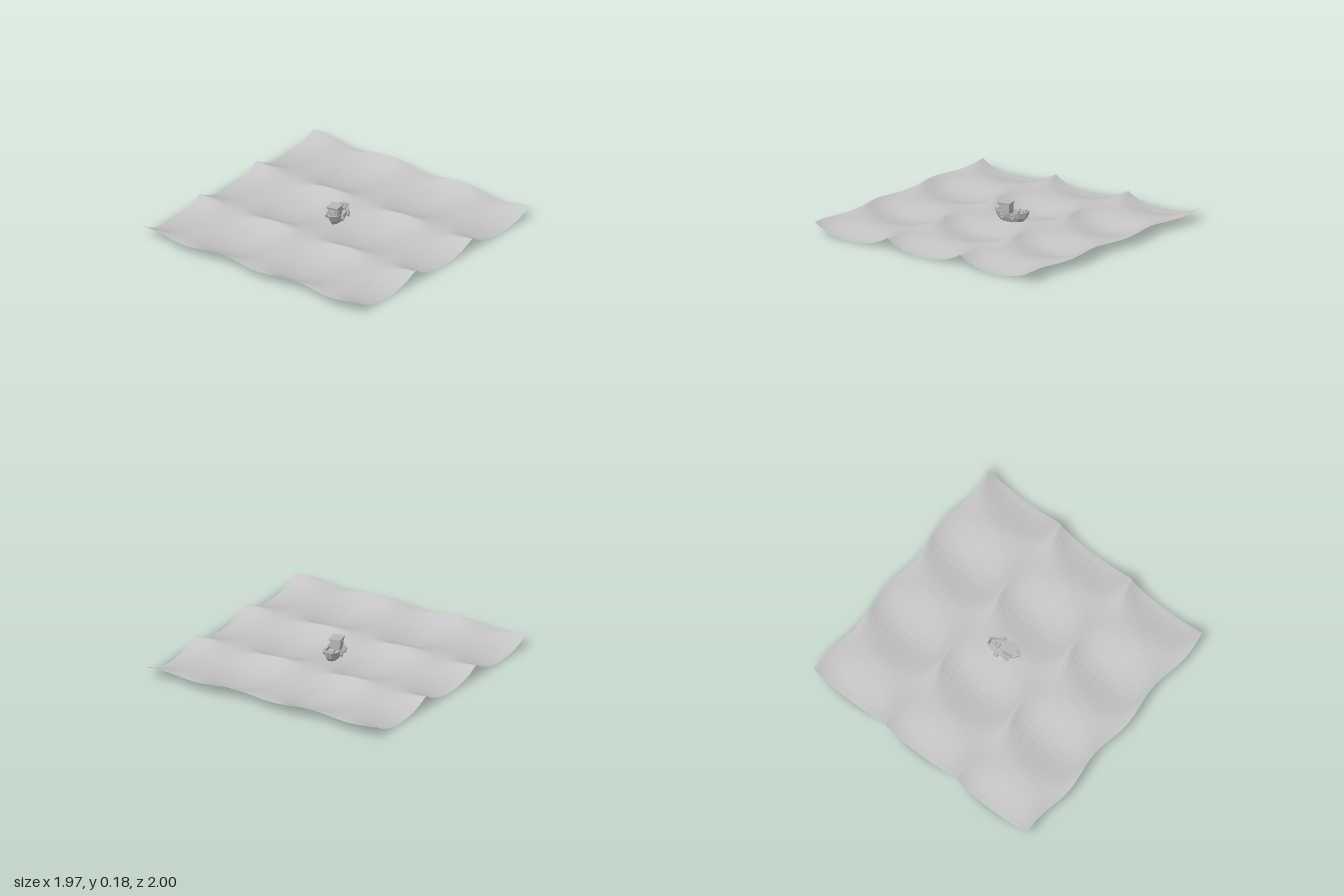
import * as THREE from 'three';

const seaGrey = new THREE.MeshStandardMaterial({ color: 0xc4c4c4, flatShading: true, side: THREE.DoubleSide });
seaGrey.name = 'sea grey';
const boatGrey = new THREE.MeshStandardMaterial({ color: 0xb8b8b8, flatShading: true, side: THREE.DoubleSide });
boatGrey.name = 'boat grey';

function add(parent, name, geometry, x = 0, y = 0, z = 0) {
  const mesh = new THREE.Mesh(geometry, boatGrey);
  mesh.name = name;
  mesh.position.set(x, y, z);
  parent.add(mesh);
  return mesh;
}

// Choppy sheet: three by three repeats of one wave, crests pinched together
function seaGeometry() {
  const size = 1.96, k = (Math.PI * 2 * 3) / size;
  const geo = new THREE.PlaneGeometry(size, size, 36, 48).rotateX(-Math.PI / 2);
  const p = geo.attributes.position;
  for (let i = 0; i < p.count; i++) {
    const x = p.getX(i), z = p.getZ(i);
    const swell = 0.026 - 0.016 * Math.cos(k * x);
    const y = 0.048 + 0.006 * Math.cos(k * x) - swell * Math.cos(k * z);
    const drift = -0.018 * Math.cos(k * (x + 0.2));
    p.setXYZ(i, x + 0.004 * Math.sin(k * z), y, z + 1.9 * swell * Math.sin(k * z) + drift);
  }
  geo.computeVertexNormals();
  return geo;
}

// Hull skin through scaled copies of one outline, ending in the sunken deck
function hullGeometry() {
  const side = [[0.045, 0.085], [0.06, 0.01], [0.052, -0.08], [0.026, -0.13]];
  const outline = [[0, 0.135], ...side, ...side.slice().reverse().map(([x, z]) => [-x, z])];
  const levels = [[0, 0.035], [0.5, 0.035], [0.84, 0.075], [1, 0.108], [0.88, 0.108], [0.85, 0.09], [0, 0.09]];
  const n = outline.length, pos = [], idx = [];
  levels.forEach(([s, y], j) => outline.forEach(([x, z], i) => {
    const sheer = j === 3 || j === 4 ? 0.9 * z * z : 0;
    pos.push(x * s, y + sheer, z * (0.2 * Math.min(1, s * 2) + 0.8 * s));
    if (j < levels.length - 1) {
      const a = j * n + i, b = j * n + (i + 1) % n;
      idx.push(a, a + n, b, b, a + n, b + n);
    }
  }));
  const geo = new THREE.BufferGeometry();
  geo.setAttribute('position', new THREE.Float32BufferAttribute(pos, 3));
  geo.setIndex(idx);
  geo.computeVertexNormals();
  return geo;
}

// Box that widens and leans forward towards its top
function flaredBox(w, h, d, flare, lean) {
  const geo = new THREE.BoxGeometry(w, h, d);
  const p = geo.attributes.position;
  for (let i = 0; i < p.count; i++) {
    if (p.getY(i) > 0) {
      p.setX(i, p.getX(i) * flare);
      p.setZ(i, p.getZ(i) * flare + lean);
    }
  }
  geo.computeVertexNormals();
  return geo;
}

function createBoat() {
  const boat = new THREE.Group();
  boat.name = 'boat';
  add(boat, 'hull', hullGeometry());

  // Wheelhouse
  add(boat, 'cabin', flaredBox(0.07, 0.075, 0.07, 1.13, 0.004), 0, 0.127, 0.04);
  add(boat, 'roof', flaredBox(0.083, 0.012, 0.096, 1.06, 0.003), 0, 0.171, 0.045);
  for (const s of [-1, 1]) {
    add(boat, 'sideWindow', flaredBox(0.004, 0.026, 0.045, 1, 0), s * 0.0388, 0.142, 0.042);
  }
  add(boat, 'frontWindow', new THREE.BoxGeometry(0.05, 0.026, 0.005), 0, 0.142, 0.083);

  // Fender tyres and deck posts, mirrored
  for (const s of [-1, 1]) {
    for (const [x, z] of [[0.063, 0.045], [0.067, -0.035]]) {
      const tyre = add(boat, 'fenderTyre', new THREE.TorusGeometry(0.015, 0.007, 6, 10), s * x, 0.09, z);
      tyre.rotation.y = Math.PI / 2;
      add(boat, 'fenderHook', new THREE.BoxGeometry(0.02, 0.006, 0.008), s * (x - 0.006), 0.112, z);
    }
    add(boat, 'sternPost', new THREE.CylinderGeometry(0.004, 0.004, 0.035, 6), s * 0.03, 0.113, -0.105);
  }

  // Aft deck gear
  const rail = add(boat, 'sternRail', new THREE.CylinderGeometry(0.004, 0.004, 0.07, 6), 0, 0.124, -0.105);
  rail.rotation.z = Math.PI / 2;
  const winch = add(boat, 'winch', new THREE.CylinderGeometry(0.012, 0.012, 0.035, 8), 0, 0.108, -0.045);
  winch.rotation.z = Math.PI / 2;
  add(boat, 'crate', new THREE.BoxGeometry(0.025, 0.02, 0.022), 0.01, 0.1, -0.08);

  boat.position.set(-0.007, 0.002, -0.035);
  boat.rotation.y = 0.22;
  return boat;
}

export function createModel() {
  const model = new THREE.Group();
  model.name = 'boatOnSea';
  const sea = new THREE.Mesh(seaGeometry(), seaGrey);
  sea.name = 'sea';
  model.add(sea, createBoat());
  return model;
}
